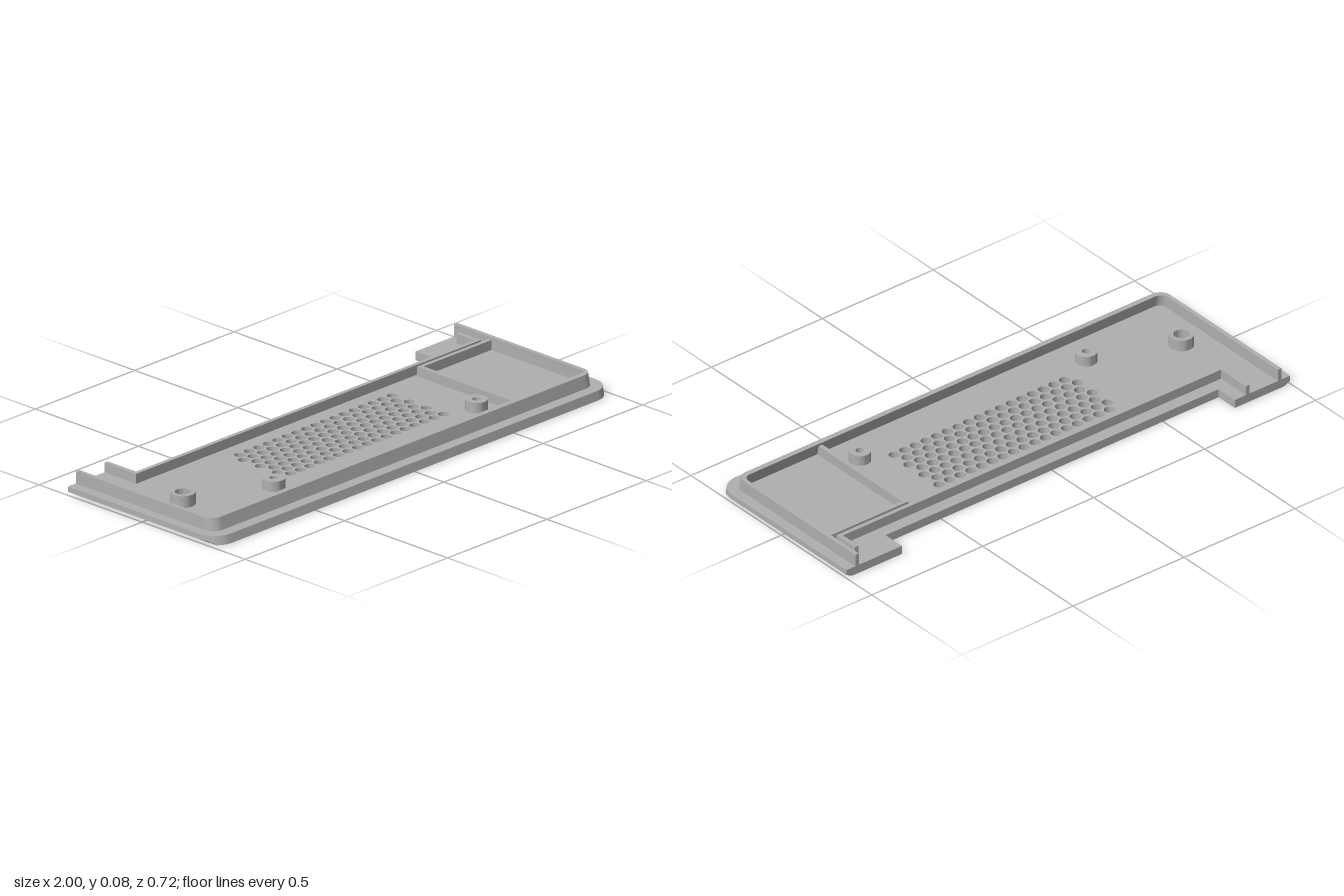
import * as THREE from 'three';
import { toCreasedNormals } from 'three/addons/utils/BufferGeometryUtils.js';

const FLOOR = 0.033, TOP = 0.08, RIB = 0.07;

// Extrudes a plan (x, -z) upwards from y0; rule may then move each vertex
function prism(shape, y0, y1, steps, rule) {
  const g = new THREE.ExtrudeGeometry(shape, {
    depth: y1 - y0, steps, bevelEnabled: false, curveSegments: 10,
  });
  g.rotateX(-Math.PI / 2).translate(0, y0, 0);
  const p = g.attributes.position, v = new THREE.Vector3();
  for (let i = 0; rule && i < p.count; i++) {
    v.fromBufferAttribute(p, i);
    rule(v);
    p.setXYZ(i, v.x, v.y, v.z);
  }
  return toCreasedNormals(g, 0.5);
}

// The front leans back as it rises
const lean = (v) => { if (v.z > 0.24) v.z -= 0.2 * v.y; };

// Adds the two rounded front corners, running from the right side to the left
function roundedFront(s, x, z, r) {
  s.lineTo(-x, -(z - r));
  s.absarc(-x + r, -(z - r), r, Math.PI, Math.PI * 1.5, false);
  s.lineTo(x - r, -z);
  s.absarc(x - r, -(z - r), r, -Math.PI / 2, 0, false);
}

// Base plate with a notch at the back and a honeycomb of vent holes
function plateShape() {
  const s = new THREE.Shape();
  s.moveTo(-1, 0.36);
  roundedFront(s, 1, 0.36, 0.08);
  s.lineTo(1, 0.36);
  s.lineTo(0.75, 0.36);
  s.lineTo(0.75, 0.27);
  s.lineTo(-0.75, 0.27);
  s.lineTo(-0.75, 0.36);
  s.closePath();
  for (let row = 0; row < 7; row++) {
    for (let i = 0; i < 17; i++) {
      const x = (row % 2 ? -0.395 : -0.371) + i * 0.048;
      const hole = new THREE.Path();
      const z = -0.132 + row * 0.0413;
      for (let k = 0; k <= 14; k++) {
        const a = -k / 14 * Math.PI * 2;
        const px = x + 0.02 * Math.cos(a), py = -z + 0.02 * Math.sin(a);
        if (k === 0) hole.moveTo(px, py);
        else if (k < 14) hole.lineTo(px, py);
      }
      hole.closePath();
      s.holes.push(hole);
    }
  }
  return s;
}

// U-shaped rim wall, open at the back
function rimShape() {
  const s = new THREE.Shape();
  s.moveTo(-0.96, 0.36);
  roundedFront(s, 0.96, 0.316, 0.045);
  s.lineTo(0.96, 0.36);
  s.lineTo(0.944, 0.36);
  s.lineTo(0.944, -0.266);
  s.absarc(0.915, -0.266, 0.029, 0, -Math.PI / 2, true);
  s.lineTo(-0.915, -0.295);
  s.absarc(-0.915, -0.266, 0.029, -Math.PI / 2, -Math.PI, true);
  s.lineTo(-0.944, 0.36);
  s.closePath();
  return s;
}

export function createModel() {
  const group = new THREE.Group();
  const grey = new THREE.MeshStandardMaterial({ color: 0xb0b0b0 });
  grey.name = 'grey plastic';
  const add = (name, geometry) => {
    const m = new THREE.Mesh(geometry, grey);
    m.name = name;
    group.add(m);
    return m;
  };

  // Plate, with the lower side edges cut off at a slant
  add('basePlate', prism(plateShape(), 0, FLOOR, 5, (v) => {
    const limit = 0.975 + 0.025 * Math.min(1, v.y / 0.0132);
    v.x = THREE.MathUtils.clamp(v.x, -limit, limit);
    lean(v);
  }));
  add('rimWall', prism(rimShape(), FLOOR - 0.002, TOP, 1, lean));

  // Straight ribs: x0, x1, z0, z1
  const rib = (name, x0, x1, z0, z1) => {
    const h = RIB - FLOOR + 0.002;
    add(name, new THREE.BoxGeometry(x1 - x0, h, z1 - z0))
      .position.set((x0 + x1) / 2, RIB - h / 2, (z0 + z1) / 2);
  };
  rib('notchRib', -0.816, 0.919, -0.222, -0.206);
  rib('notchRibRightEnd', -0.816, -0.8, -0.36, -0.222);
  rib('notchRibLeftEnd', 0.903, 0.919, -0.308, -0.222);
  rib('compartmentDivider', 0.586, 0.603, -0.195, 0.29);
  rib('compartmentBackRib', 0.603, 0.946, -0.195, -0.179);

  // Hollow screw bosses
  const boss = (name, x, z, r, hole, top) => {
    const pts = [[r, FLOOR - 0.002], [r, top], [hole, top], [hole, FLOOR - 0.002]]
      .map(([a, b]) => new THREE.Vector2(a, b));
    add(name, toCreasedNormals(new THREE.LatheGeometry(pts, 32), 0.5)).position.set(x, 0, z);
  };
  boss('largeBoss', -0.833, 0.037, 0.045, 0.028, 0.077);
  for (const x of [-0.51, 0.51]) boss('smallBoss', x, 0.167, 0.04, 0.015, 0.072);

  return group;
}
